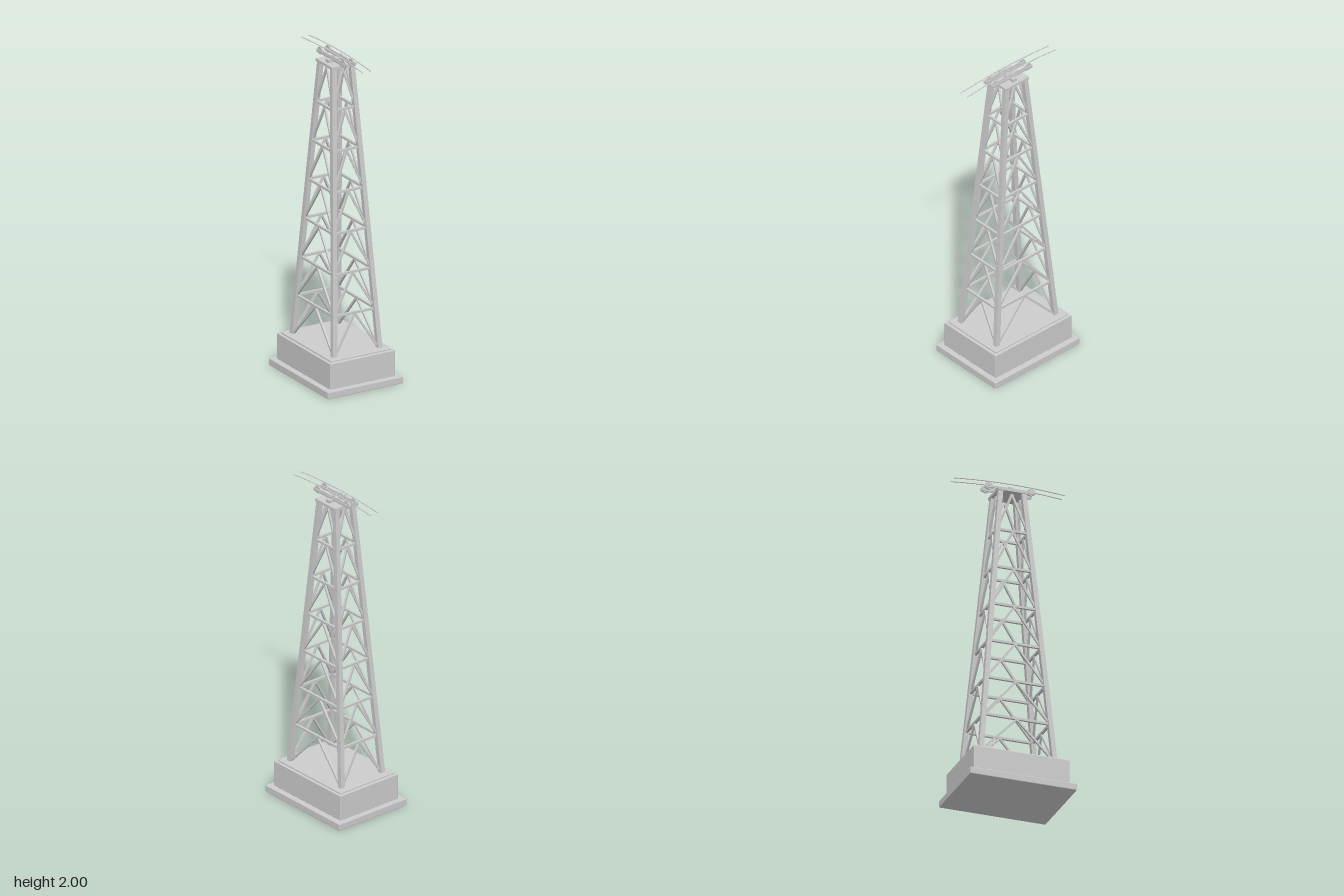
import * as THREE from 'three';
import { RoundedBoxGeometry } from 'three/addons/geometries/RoundedBoxGeometry.js';

const mat = new THREE.MeshStandardMaterial({ color: 0xcccccc, flatShading: true });
const smooth = new THREE.MeshStandardMaterial({ color: 0xcccccc });
const V = (x, y, z) => new THREE.Vector3(x, y, z);

export function createModel() {
  const root = new THREE.Group();

  function add(name, geo, x = 0, y = 0, z = 0, parent = root, m = mat) {
    const mesh = new THREE.Mesh(geo, m);
    mesh.name = name;
    mesh.position.set(x, y, z);
    parent.add(mesh);
    return mesh;
  }
  function box(name, w, h, d, x, y, z, parent) {
    return add(name, new THREE.BoxGeometry(w, h, d), x, y, z, parent);
  }
  // square bar from a to b
  function bar(name, a, b, t, parent) {
    const mesh = box(name, t, t, a.distanceTo(b), 0, 0, 0, parent);
    mesh.position.copy(a).add(b).multiplyScalar(0.5);
    mesh.lookAt(b);
  }

  // stepped foundation with softened edges
  const slab = (name, w, y0, y1, d) =>
    add(name, new RoundedBoxGeometry(w, y1 - y0, d, 1, 0.004), 0, (y0 + y1) / 2, 0);
  slab('footing', 0.51, 0, 0.043, 0.66);
  slab('foundationBlock', 0.44, 0.04, 0.202, 0.594);
  slab('foundationCap', 0.408, 0.19, 0.212, 0.56);

  // leg centreline as a function of height
  const y0 = 0.205, y1 = 1.93, legW = 0.029;
  const legX = y => THREE.MathUtils.mapLinear(y, y0, y1, 0.153, 0.061);
  const legZ = y => THREE.MathUtils.mapLinear(y, y0, y1, 0.229, 0.072);

  // four leaning legs, sheared so the ends stay level
  for (const sx of [-1, 1]) for (const sz of [-1, 1]) {
    const geo = new THREE.BoxGeometry(legW, y1 - y0, legW);
    geo.translate(0, (y0 + y1) / 2, 0);
    const p = geo.attributes.position;
    for (let i = 0; i < p.count; i++) {
      const y = p.getY(i);
      p.setXYZ(i, p.getX(i) + sx * legX(y), y, p.getZ(i) + sz * legZ(y));
    }
    geo.computeVertexNormals();
    add('leg', geo);
  }

  // lattice: seven storeys of inverted V braces under horizontals
  const lattice = new THREE.Group();
  lattice.name = 'lattice';
  root.add(lattice);
  const storeys = 7, step = 0.245;
  for (let i = 0; i < storeys; i++) {
    const a = y0 + i * step, b = a + step;
    for (const s of [-1, 1]) {
      if (i < storeys - 1) {
        bar('crossBar', V(-legX(b), b, s * legZ(b)), V(legX(b), b, s * legZ(b)), 0.014, lattice);
        bar('crossBar', V(s * legX(b), b, -legZ(b)), V(s * legX(b), b, legZ(b)), 0.014, lattice);
      }
      for (const t of [-1, 1]) {
        bar('diagonalBrace', V(t * legX(a), a, s * legZ(a)), V(0, b - 0.004, s * legZ(b)), 0.012, lattice);
        bar('diagonalBrace', V(s * legX(a), a, t * legZ(a)), V(s * legX(b), b - 0.004, 0), 0.012, lattice);
      }
    }
  }

  // head plate and saddle
  box('headPlate', 0.164, 0.016, 0.182, 0, 1.934, 0);
  box('saddle', 0.122, 0.018, 0.032, 0, 1.951, 0);

  // two identical roller trains, each carrying a cable
  for (const sx of [-1, 1]) {
    const train = new THREE.Group();
    train.name = 'rollerTrain';
    train.position.x = sx * 0.027;
    root.add(train);
    for (const s of [-1, 1]) {
      box('sideRail', 0.004, 0.014, 0.25, s * 0.008, 1.961, 0, train);
      for (const e of [-1, 1])
        box('railEnd', 0.005, 0.02, 0.048, s * 0.008, 1.962, e * 0.132, train);
      box('centreBracket', 0.005, 0.028, 0.024, s * 0.008, 1.961, 0, train);
    }
    const pin = new THREE.CylinderGeometry(0.004, 0.004, 0.028, 10).rotateZ(Math.PI / 2);
    add('pivotPin', pin, 0, 1.962, 0, train, smooth);

    // grooved sheaves at both ends
    const groove = [[0, -0.005], [0.024, -0.005], [0.02, 0], [0.024, 0.005], [0, 0.005]]
      .map(([r, y]) => new THREE.Vector2(r, y));
    for (const e of [-1, 1]) {
      add('sheave', new THREE.LatheGeometry(groove, 20).rotateZ(Math.PI / 2), 0, 1.967, e * 0.13, train);
      add('axle', pin, 0, 1.967, e * 0.13, train, smooth);
    }

    // cable sagging away to both sides
    const pts = [];
    for (let i = 0; i <= 12; i++) {
      const z = -0.343 + i * 0.343 / 6;
      pts.push(V(0, 1.997 - 0.14 * z * z, z));
    }
    const curve = new THREE.CatmullRomCurve3(pts);
    add('cable', new THREE.TubeGeometry(curve, 24, 0.003, 8), 0, 0, 0, train, smooth);
    for (const e of [-1, 1])
      add('cableEnd', new THREE.CylinderGeometry(0.003, 0.003, 0.001, 8).rotateX(Math.PI / 2),
        0, pts[0].y, e * 0.343, train, smooth);
  }
  return root;
}
